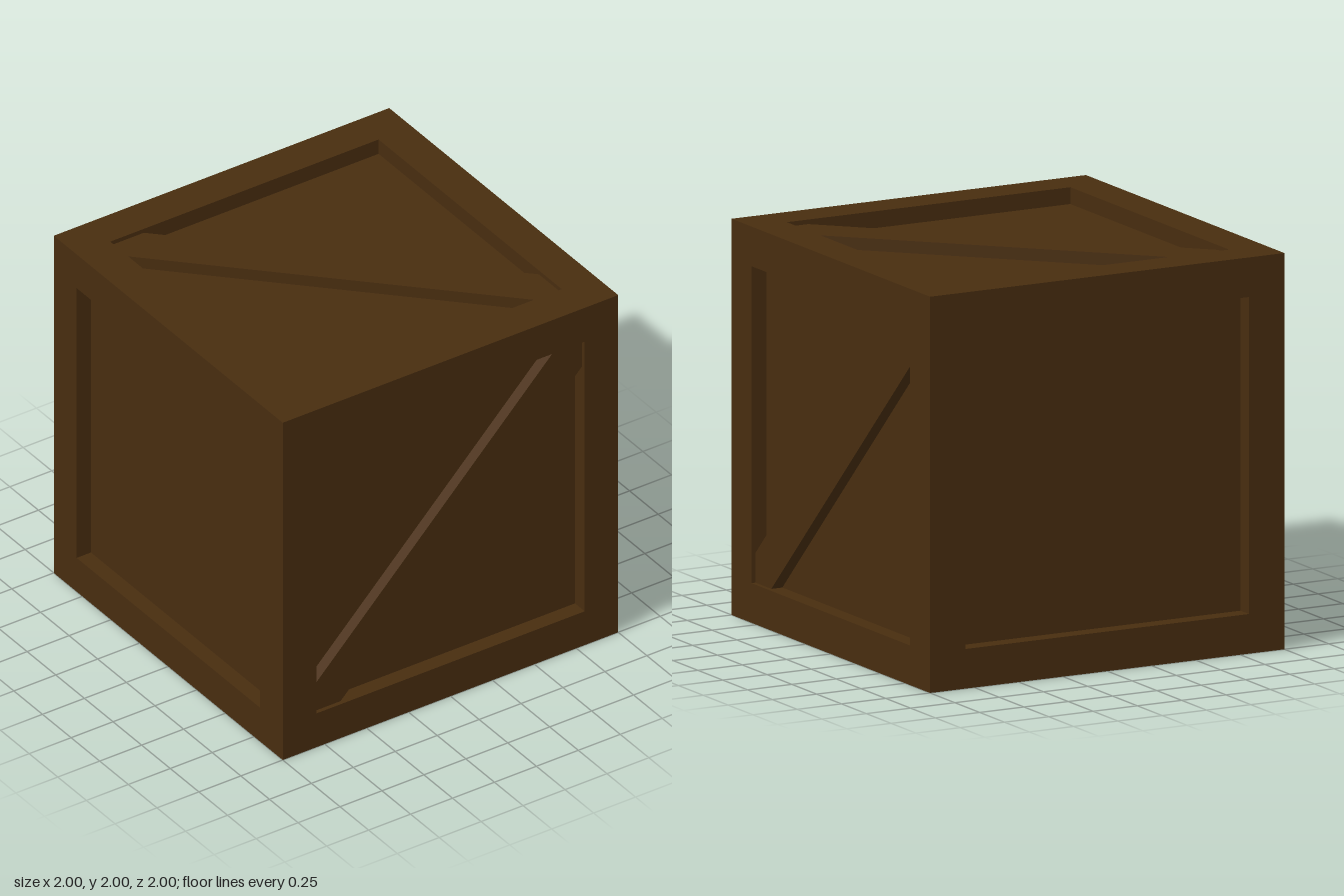
import * as THREE from 'three';

const DEPTH = 0.085;  // recess of the panels
const INNER = 0.8;    // half-width of the frame opening
const BRACE = 0.062;  // thickness of a diagonal brace

const square = (h) => [[-h, -h], [h, -h], [h, h], [-h, h]].map(([x, y]) => new THREE.Vector2(x, y));

// Square frame around an opening, mitred at the back so six of them close a cube
function frameGeometry() {
  const shape = new THREE.Shape(square(1));
  shape.holes.push(new THREE.Path(square(INNER).reverse()));
  const geo = new THREE.ExtrudeGeometry(shape, { depth: DEPTH, bevelEnabled: false });
  geo.translate(0, 0, 1 - DEPTH);
  const p = geo.attributes.position;
  for (let i = 0; i < p.count; i++) {
    const outer = Math.max(Math.abs(p.getX(i)), Math.abs(p.getY(i))) > 0.95;
    if (outer && p.getZ(i) < 0.99) {
      p.setX(i, p.getX(i) * (1 - DEPTH));
      p.setY(i, p.getY(i) * (1 - DEPTH));
    }
  }
  geo.computeVertexNormals();
  return geo;
}

// Diagonal plank cut to fit the corners of the opening
function braceGeometry(points) {
  const shape = new THREE.Shape(points.map(([x, y]) => new THREE.Vector2(x, y)));
  const geo = new THREE.ExtrudeGeometry(shape, { depth: BRACE, bevelEnabled: false });
  return geo.translate(0, 0, 1 - DEPTH);
}

export function createModel() {
  const wood = new THREE.MeshStandardMaterial({ color: 0x482d0f });
  wood.name = 'darkWood';

  const frameGeo = frameGeometry();
  const panelGeo = new THREE.PlaneGeometry(2 * INNER, 2 * INNER).translate(0, 0, 1 - DEPTH);

  // Brace outlines in the plane of their own side
  const wall = [[-0.8, -0.8], [-0.64, -0.8], [0.8, 0.64], [0.8, 0.8], [0.64, 0.8], [-0.8, -0.65]];
  const bottom = [[-0.8, -0.8], [-0.6, -0.8], [0.8, 0.6], [0.8, 0.8], [0.68, 0.8], [-0.8, -0.69]];
  const top = bottom.map(([x, y]) => [x, -y]);

  const Q = Math.PI / 2;
  const sides = [
    ['front', 0, 0, wall],
    ['leftSide', 0, Q, wall],
    ['back', 0, 2 * Q, null],
    ['rightSide', 0, -Q, null],
    ['top', -Q, 0, top],
    ['bottom', Q, 0, bottom],
  ];

  const crate = new THREE.Group();
  crate.name = 'crate';
  for (const [name, rx, ry, outline] of sides) {
    const side = new THREE.Group();
    side.name = name;
    const add = (part, geo) => {
      const mesh = new THREE.Mesh(geo, wood);
      mesh.name = name + part;
      side.add(mesh);
    };
    add('Frame', frameGeo);
    add('Panel', panelGeo);
    if (outline) add('Brace', braceGeometry(outline));
    side.rotation.set(rx, ry, 0);
    side.position.y = 1;
    crate.add(side);
  }
  return crate;
}
